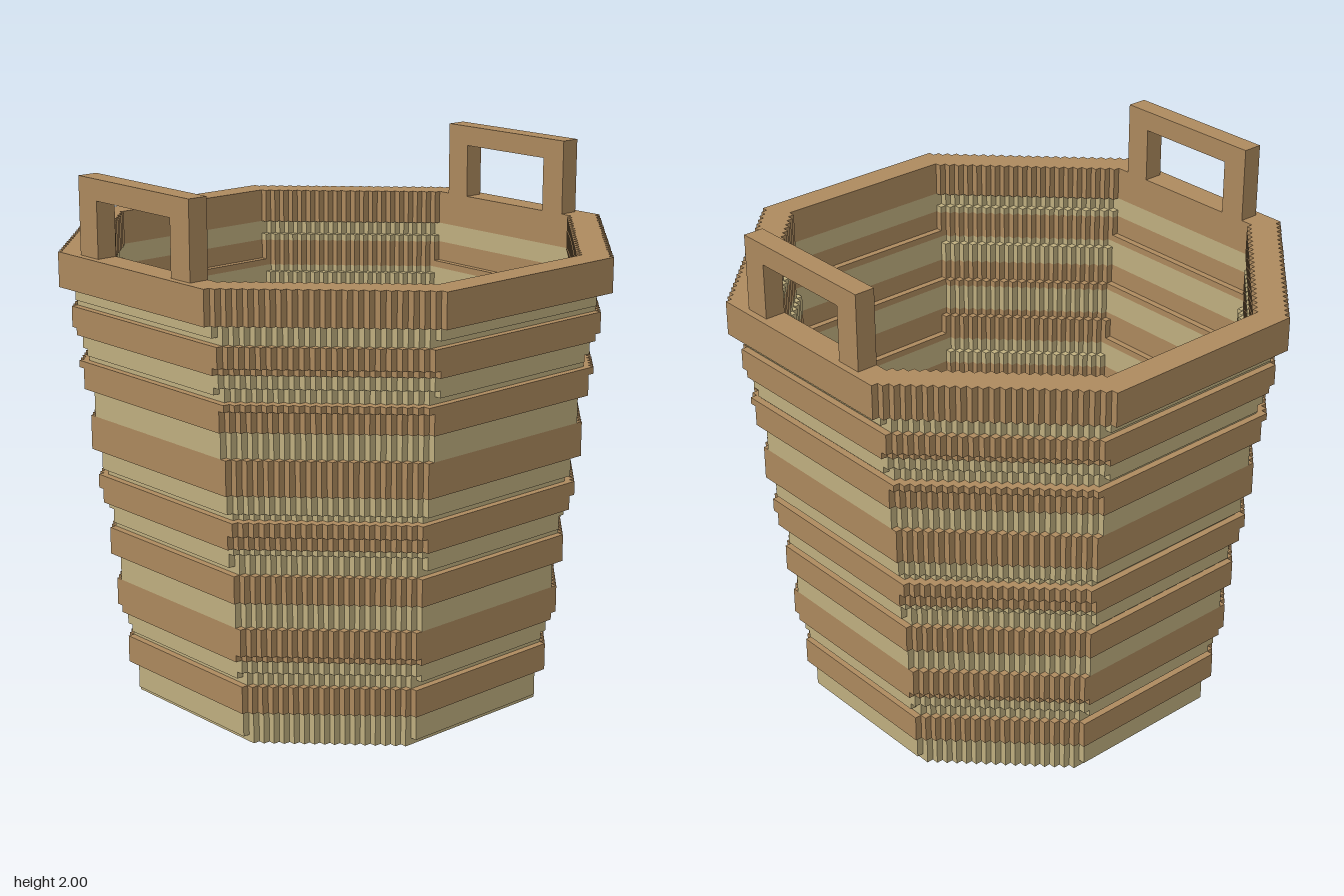
import * as THREE from 'three';

const U = 2 / 78; // size of one block

// Stair-stepped octagon: r = half width, k = reach of the diagonal, both in blocks
function octagon(r, k, Type) {
  const f = k - r;
  const quarter = [[r, f]];
  for (let s = 1; s <= r - f; s++) quarter.push([r - s, f + s - 1], [r - s, f + s]);
  const points = [];
  for (let q = 0; q < 4; q++) {
    for (const [a, b] of quarter) {
      const [x, y] = [[a, b], [-b, a], [-a, -b], [b, -a]][q];
      points.push(new THREE.Vector2(x * U, y * U));
    }
  }
  return new Type(points);
}

// One ring (or disc when there is no inner outline) between two block rows
function layer(name, material, outer, inner, y0, y1) {
  const shape = octagon(outer[0], outer[1], THREE.Shape);
  if (inner) shape.holes.push(octagon(inner[0], inner[1], THREE.Path));
  const geometry = new THREE.ExtrudeGeometry(shape, { depth: (y1 - y0) * U, bevelEnabled: false });
  geometry.rotateX(-Math.PI / 2);
  const mesh = new THREE.Mesh(geometry, material);
  mesh.name = name;
  mesh.position.y = y0 * U;
  return mesh;
}

function box(name, material, x, y, z, w, h, d) {
  const mesh = new THREE.Mesh(new THREE.BoxGeometry(w * U, h * U, d * U), material);
  mesh.name = name;
  mesh.position.set(x * U, y * U, z * U);
  return mesh;
}

export function createModel() {
  const wicker = new THREE.MeshStandardMaterial({ color: 0xc0b080 });
  wicker.name = 'pale wicker';
  const wood = new THREE.MeshStandardMaterial({ color: 0xad8a5e });
  wood.name = 'brown wicker';

  const model = new THREE.Group();
  model.name = 'basket';

  // Woven wall: tapered rows, with brown bands standing one block proud
  const FLOOR = 5, RIM = 62, TOP = 67;
  const bands = [[5, 9], [13, 18], [22, 26], [30, 34], [38, 43], [47, 51], [55, 59]];
  const size = (radius) => [Math.floor(radius), Math.floor(radius * Math.SQRT2 + 0.36)];
  const wall = new THREE.Group();
  wall.name = 'wall';
  const row = (y) => {
    const radius = 28.91 + 0.1185 * y;
    const brown = bands.some(([a, b]) => y >= a && y < b);
    return {
      brown,
      outer: size(radius + (brown ? 1 : 0)),
      inner: y < FLOOR ? null : size(radius - 1.53),
    };
  };
  // Equal neighbouring rows are joined into one ring
  let start = 0;
  for (let y = 1; y <= RIM; y++) {
    const current = row(start);
    if (y < RIM && JSON.stringify(row(y)) === JSON.stringify(current)) continue;
    const name = current.inner ? (current.brown ? 'brownBand' : 'paleBand') : 'base';
    wall.add(layer(name, current.brown ? wood : wicker, current.outer, current.inner, start, y));
    start = y;
  }
  model.add(wall);

  // Thick rim
  model.add(layer('rim', wood, [38, 54], [34, 48], RIM, TOP));

  // Two square handles standing on the rim
  for (const side of [1, -1]) {
    const handle = new THREE.Group();
    handle.name = side > 0 ? 'leftHandle' : 'rightHandle';
    const x = side * 35.5;
    for (const z of [10, -10]) handle.add(box('handlePost', wood, x, 71, z, 3, 8, 4));
    handle.add(box('handleGrip', wood, x, 76.5, 0, 3, 3, 24));
    model.add(handle);
  }
  return model;
}
